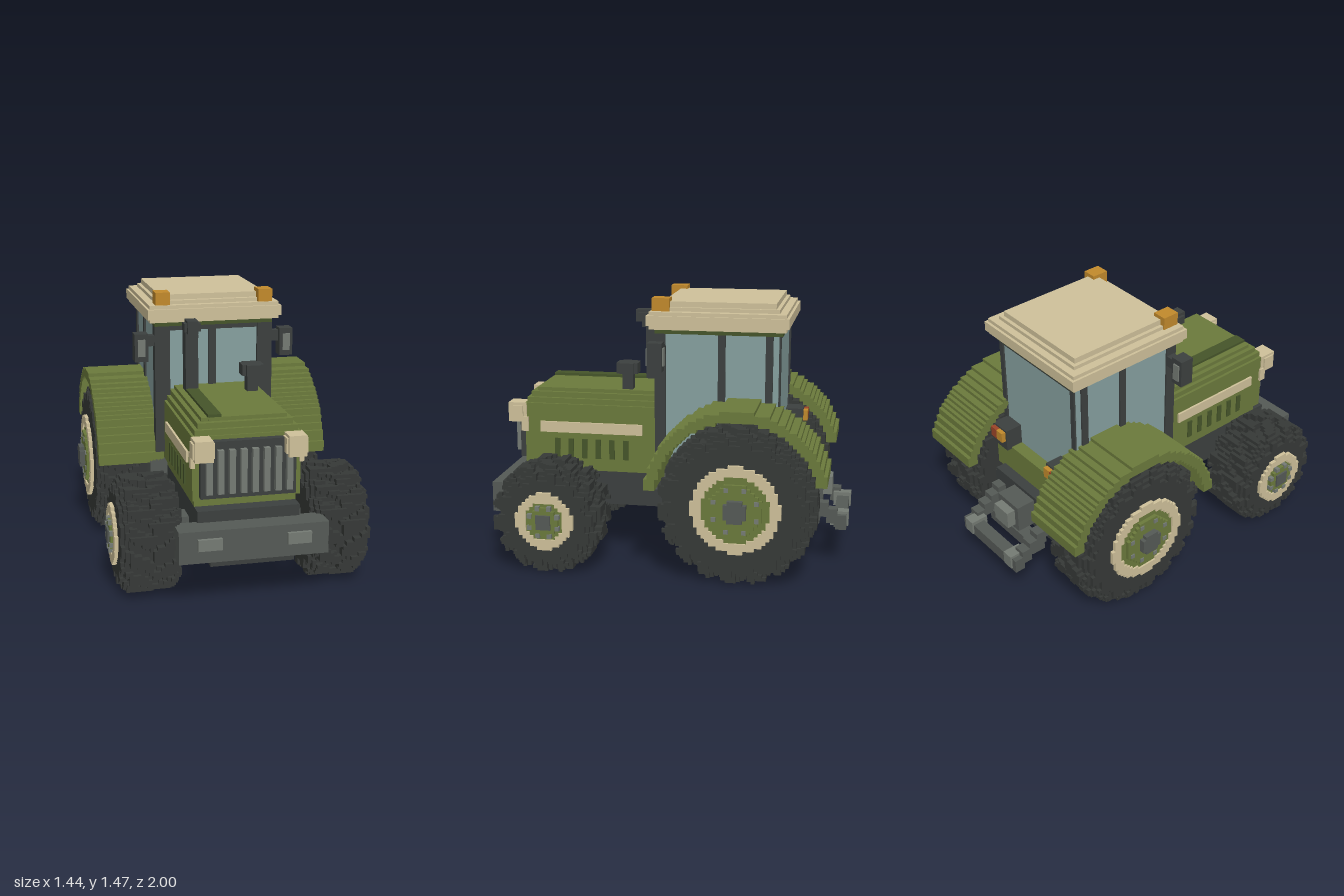
import * as THREE from 'three';

const mat = (color) => new THREE.MeshStandardMaterial({ color, flatShading: true });
const M = {
  green: mat(0x6b7a3c), darkGreen: mat(0x46552a), cream: mat(0xcfc19a), dark: mat(0x3c403f),
  tyre: mat(0x363937), grey: mat(0x555a56), light: mat(0x757b74), glass: mat(0x86a09f),
  orange: mat(0xc28a2c), red: mat(0x9c4528),
};

// Box from its extents
function box(parent, name, m, x0, x1, y0, y1, z0, z1) {
  const mesh = new THREE.Mesh(new THREE.BoxGeometry(x1 - x0, y1 - y0, z1 - z0), m);
  mesh.position.set((x0 + x1) / 2, (y0 + y1) / 2, (z0 + z1) / 2);
  mesh.name = name;
  parent.add(mesh);
}
// The same box on the left and the right
function pair(parent, name, m, x0, x1, ...rest) {
  box(parent, name + 'Left', m, x0, x1, ...rest);
  box(parent, name + 'Right', m, -x1, -x0, ...rest);
}

// Blocky solid: keeps only the outer faces of cells for which inside(x, y, z) holds
function voxels(parent, name, m, min, max, cell, inside) {
  const n = [0, 1, 2].map((a) => Math.round((max[a] - min[a]) / cell[a]));
  const at = (c) => c.every((v, a) => v >= 0 && v < n[a]) &&
    inside(...c.map((v, a) => min[a] + (v + 0.5) * cell[a]));
  const pos = [], idx = [];
  for (let i = 0; i < n[0]; i++) for (let j = 0; j < n[1]; j++) for (let k = 0; k < n[2]; k++) {
    const c = [i, j, k];
    if (!at(c)) continue;
    for (let a = 0; a < 3; a++) for (const d of [0, 1]) {
      const next = c.slice();
      next[a] += d ? 1 : -1;
      if (at(next)) continue;
      const u = (a + 1) % 3, w = (a + 2) % 3, base = pos.length / 3;
      for (const [p, q] of [[0, 0], [1, 0], [1, 1], [0, 1]]) {
        const v = c.slice();
        v[a] += d; v[u] += p; v[w] += q;
        pos.push(...v.map((t, b) => min[b] + t * cell[b]));
      }
      const o = d ? [0, 1, 2, 0, 2, 3] : [0, 2, 1, 0, 3, 2];
      idx.push(...o.map((t) => base + t));
    }
  }
  const g = new THREE.BufferGeometry();
  g.setAttribute('position', new THREE.Float32BufferAttribute(pos, 3));
  g.setIndex(idx);
  const flat = g.toNonIndexed();
  flat.computeVertexNormals();
  const mesh = new THREE.Mesh(flat, m);
  mesh.name = name;
  parent.add(mesh);
}

// Wheel: lugged tyre, cream rim, green disc, hub and bolts; s is the side
function wheel(parent, name, s, y, z, o) {
  const g = new THREE.Group();
  g.name = name;
  g.position.set(0, y, z);
  parent.add(g);
  const mid = (o.x0 + o.x1) / 2, half = (o.x1 - o.x0) / 2;
  const slab = (part, m, x0, x1, r, cx, inside) => voxels(g, part, m,
    [s > 0 ? x0 : -x1, -r, -r], [s > 0 ? x1 : -x0, r, r], [cx, 0.02, 0.02], inside);
  slab('tyre', M.tyre, o.x0, o.x1, o.R, 0.02, (x, py, pz) => {
    const t = Math.abs(Math.abs(x) - mid) / half, r = Math.hypot(py, pz);
    const side = Math.abs(x) < mid ? 0.5 : 0;
    const phase = Math.atan2(pz, py) / (2 * Math.PI) * o.lugs + t * 0.7 + side + 20;
    const shoulder = t > 0.9 ? 0.045 : t > 0.75 ? 0.015 : 0;
    return r < o.R - shoulder - (phase % 1 < 0.55 ? 0 : 0.035);
  });
  const ring = (r0, r1) => (x, py, pz) => {
    const r = Math.hypot(py, pz);
    return r >= r0 && r < r1;
  };
  const up = (r) => Math.ceil(r / 0.02) * 0.02;
  slab('rim', M.cream, o.x1, o.x1 + 0.02, up(o.rim), 0.02, ring(o.disc, o.rim));
  slab('disc', M.green, o.x1, o.x1 + 0.01, up(o.disc), 0.01, ring(0, o.disc + 0.01));
  slab('innerDisc', M.green, o.x1 + 0.01, o.x1 + 0.03, up(o.disc), 0.02, ring(0, o.disc * 0.78));
  slab('hub', M.grey, o.x1 + 0.02, o.hubX, up(o.hub), o.hubX - o.x1 - 0.02, ring(0, o.hub));
  for (let i = 0; i < 8; i++) {
    const a = (i + 0.5) * Math.PI / 4, by = Math.sin(a) * o.bolt, bz = Math.cos(a) * o.bolt;
    const xa = s * (o.x1 + 0.005), xb = s * (o.x1 + 0.036);
    box(g, 'bolt', M.light, Math.min(xa, xb), Math.max(xa, xb), by - 0.012, by + 0.012, bz - 0.012, bz + 0.012);
  }
}

export function createModel() {
  const root = new THREE.Group();
  root.name = 'tractor';
  const add = (name) => {
    const g = new THREE.Group();
    g.name = name;
    root.add(g);
    return g;
  };

  // Wheels and rear fenders
  for (const [s, side] of [[1, 'left'], [-1, 'right']]) {
    wheel(root, side + 'FrontWheel', s, 0.3, 0.6,
      { R: 0.3, x0: 0.34, x1: 0.66, lugs: 14, rim: 0.155, disc: 0.11, hub: 0.05, hubX: 0.7, bolt: 0.082 });
    wheel(root, side + 'RearWheel', s, 0.42, -0.43,
      { R: 0.42, x0: 0.34, x1: 0.66, lugs: 18, rim: 0.235, disc: 0.18, hub: 0.065, hubX: 0.72, bolt: 0.122 });
    voxels(root, side + 'Fender', M.green, [s > 0 ? 0.29 : -0.66, 0.5, -0.92], [s > 0 ? 0.66 : -0.29, 0.94, 0.06],
      [0.37, 0.02, 0.02], (x, y, z) => {
        const r = Math.hypot(y - 0.445, z + 0.43);
        return r < 0.492 && r > 0.437 && (z > -0.43 || y > 0.55);
      });
  }

  // Chassis, axles and front bumper
  const chassis = add('chassis');
  box(chassis, 'frame', M.dark, -0.27, 0.27, 0.29, 0.48, -0.74, 0.86);
  box(chassis, 'frontAxle', M.grey, -0.36, 0.36, 0.27, 0.38, 0.53, 0.65);
  box(chassis, 'rearAxle', M.grey, -0.36, 0.36, 0.34, 0.5, -0.51, -0.35);
  pair(chassis, 'step', M.grey, 0.27, 0.37, 0.42, 0.52, -0.06, 0.06);
  box(chassis, 'bumper', M.grey, -0.39, 0.39, 0.25, 0.42, 0.84, 0.98);
  box(chassis, 'bumperSkid', M.dark, -0.22, 0.22, 0.21, 0.29, 0.8, 0.94);
  pair(chassis, 'bumperPlate', M.light, 0.17, 0.295, 0.32, 0.38, 0.97, 1.0);

  // Stepped hood with stripes and vents
  const hood = add('hood');
  const layers = [[0.48, 0.52, 0.27, 0.78], [0.52, 0.86, 0.285, 0.81], [0.86, 0.89, 0.27, 0.8],
    [0.89, 0.92, 0.25, 0.78], [0.92, 0.94, 0.225, 0.75]];
  for (const [y0, y1, x, z] of layers) box(hood, 'hoodLayer', M.green, -x, x, y0, y1, 0, z);
  pair(hood, 'stripe', M.cream, 0.28, 0.297, 0.7, 0.76, 0.14, 0.72);
  for (let i = 0; i < 6; i++) {
    const z = 0.235 + i * 0.078;
    pair(hood, 'vent', M.darkGreen, 0.28, 0.292, 0.555, 0.665, z - 0.015, z + 0.015);
  }
  box(hood, 'topDuct', M.darkGreen, -0.19, -0.12, 0.92, 0.955, 0.2, 0.75);

  // Grille and headlights
  const nose = add('nose');
  box(nose, 'grille', M.dark, -0.25, 0.25, 0.54, 0.84, 0.8, 0.85);
  for (let i = 0; i < 8; i++) {
    const x = -0.21 + i * 0.06;
    box(nose, 'grilleBar', M.light, x - 0.016, x + 0.016, 0.57, 0.8, 0.84, 0.88);
  }
  pair(nose, 'headlight', M.cream, 0.195, 0.29, 0.75, 0.86, 0.8, 0.905);
  pair(nose, 'headlightRim', M.cream, 0.185, 0.3, 0.765, 0.845, 0.82, 0.89);
  pair(nose, 'headlightMount', M.cream, 0.275, 0.298, 0.7, 0.78, 0.79, 0.83);

  // Exhaust stack bending forward and air intake
  const stacks = add('stacks');
  box(stacks, 'exhaustPipe', M.dark, -0.19, -0.12, 0.93, 1.26, 0.12, 0.2);
  box(stacks, 'exhaustBend', M.dark, -0.195, -0.125, 1.24, 1.31, 0.14, 0.225);
  box(stacks, 'exhaustTip', M.dark, -0.19, -0.13, 1.27, 1.34, 0.17, 0.26);
  box(stacks, 'exhaustCollar', M.dark, -0.205, -0.115, 1.28, 1.325, 0.185, 0.245);
  box(stacks, 'intakeStem', M.dark, 0.14, 0.2, 0.93, 1.04, 0.21, 0.27);
  box(stacks, 'intakeCap', M.dark, 0.11, 0.23, 1.03, 1.09, 0.2, 0.28);
  box(stacks, 'intakeCap', M.dark, 0.13, 0.21, 1.03, 1.09, 0.18, 0.3);

  // Cab
  const cab = add('cab');
  box(cab, 'cabBase', M.green, -0.32, 0.32, 0.48, 0.66, -0.68, 0.03);
  box(cab, 'cabGlass', M.glass, -0.325, 0.325, 0.6, 1.28, -0.61, 0.04);
  pair(cab, 'frontPillar', M.dark, 0.25, 0.335, 0.56, 1.28, 0, 0.06);
  box(cab, 'windscreenBar', M.dark, -0.03, 0.012, 0.9, 1.28, 0.02, 0.06);
  box(cab, 'windscreenTop', M.dark, -0.32, 0.32, 1.255, 1.285, -0.615, 0.055);
  pair(cab, 'middlePillar', M.dark, 0.3, 0.335, 0.62, 1.28, -0.325, -0.285);
  pair(cab, 'rearPillar', M.dark, 0.29, 0.335, 0.62, 1.28, -0.58, -0.54);
  pair(cab, 'rearCorner', M.dark, 0.29, 0.32, 0.64, 1.28, -0.62, -0.58);
  box(cab, 'cabTopTrim', M.darkGreen, -0.335, 0.335, 1.28, 1.315, -0.63, 0.06);

  // Roof and beacons
  const roof = add('roof');
  box(roof, 'roofSlab', M.cream, -0.365, 0.365, 1.305, 1.4, -0.65, 0.085);
  box(roof, 'roofEdge', M.cream, -0.378, 0.378, 1.325, 1.38, -0.665, 0.1);
  box(roof, 'roofStep', M.cream, -0.32, 0.32, 1.39, 1.42, -0.61, 0.05);
  box(roof, 'roofTop', M.cream, -0.3, 0.3, 1.41, 1.45, -0.59, 0.02);
  pair(roof, 'beacon', M.orange, 0.25, 0.33, 1.385, 1.47, -0.02, 0.075);

  // Mirrors on arms
  const mirrors = add('mirrors');
  pair(mirrors, 'mirrorArm', M.dark, 0.31, 0.4, 1.17, 1.23, 0, 0.05);
  pair(mirrors, 'mirrorHousing', M.dark, 0.375, 0.45, 1.09, 1.245, 0.0, 0.08);
  pair(mirrors, 'mirrorInset', M.light, 0.392, 0.433, 1.12, 1.215, -0.008, 0.088);

  // Rear plate, lights and three-point hitch
  const rear = add('rear');
  box(rear, 'rearPlate', M.dark, -0.26, 0.26, 0.3, 0.5, -0.74, -0.6);
  pair(rear, 'lightBracket', M.dark, 0.18, 0.3, 0.65, 0.78, -0.71, -0.6);
  pair(rear, 'tailLight', M.red, 0.24, 0.29, 0.71, 0.77, -0.735, -0.7);
  pair(rear, 'turnLight', M.orange, 0.19, 0.24, 0.71, 0.77, -0.735, -0.7);
  box(rear, 'hitchMount', M.grey, -0.09, 0.09, 0.32, 0.48, -0.85, -0.72);
  box(rear, 'hitchCoupler', M.light, -0.06, 0.06, 0.35, 0.45, -0.9, -0.84);
  for (let i = 0; i < 5; i++) {
    const y = 0.41 - i * 0.035, z = -0.73 - i * 0.05;
    pair(rear, 'liftArm', M.grey, 0.18, 0.245, y - 0.065, y + 0.015, z - 0.06, z);
  }
  box(rear, 'drawbar', M.grey, -0.22, 0.22, 0.21, 0.28, -0.99, -0.92);
  box(rear, 'lowerLink', M.grey, -0.2, 0.2, 0.22, 0.29, -0.84, -0.76);
  pair(rear, 'drawbarEnd', M.light, 0.15, 0.215, 0.22, 0.3, -1.0, -0.9);
  return root;
}
